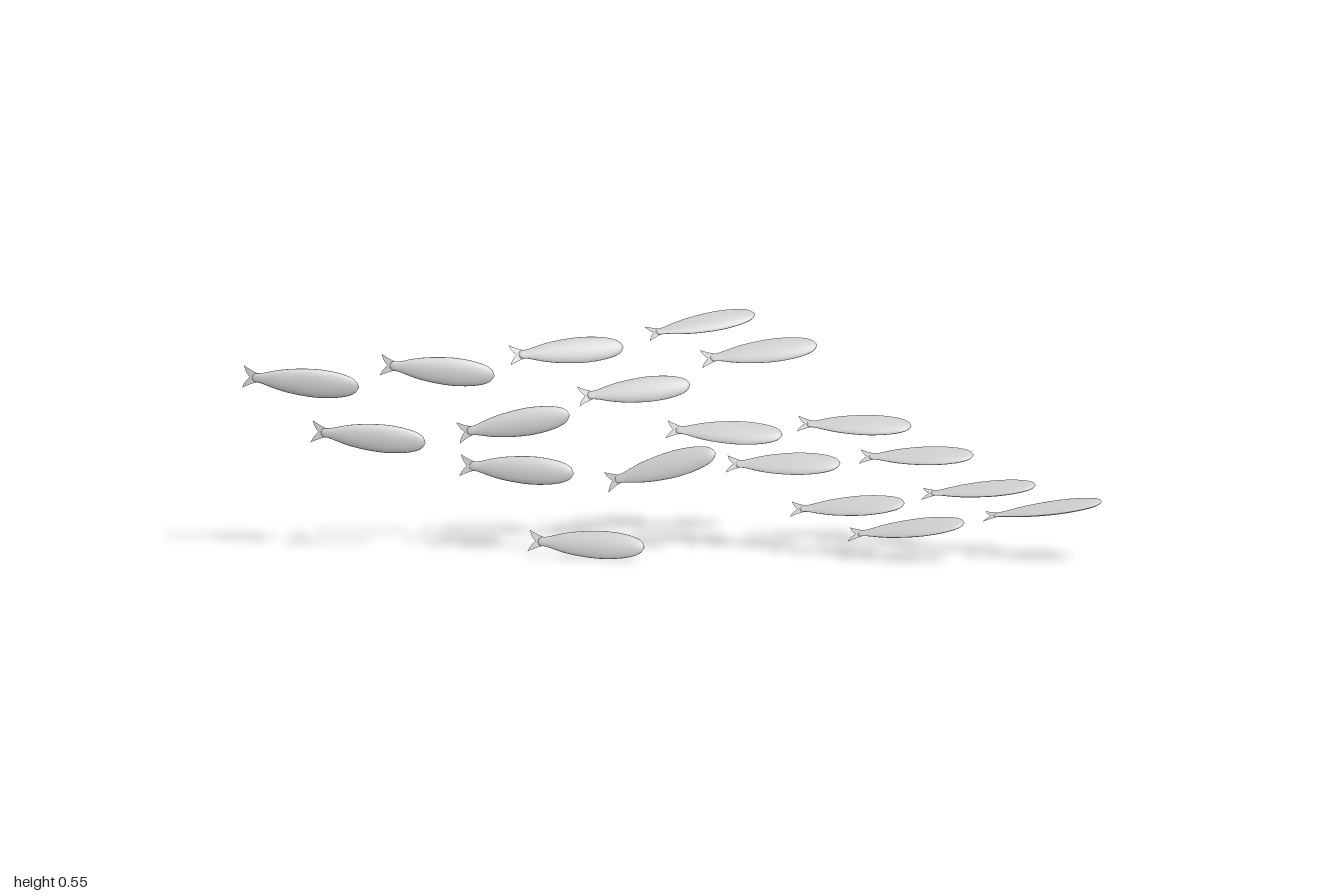
import * as THREE from 'three';
import { mergeVertices } from 'three/addons/utils/BufferGeometryUtils.js';

const LENGTH = 0.27;

// Each fish: tail x, y, z, nose x, y, z, and lean of the back towards -z in degrees
const SCHOOL = [
  [-1.00, 0.417, 0.020, -0.73, 0.392, 0.024, 2],
  [-0.84, 0.285, 0.000, -0.575, 0.260, 0.012, 5],
  [-0.68, 0.435, -0.046, -0.415, 0.410, -0.042, 9],
  [-0.50, 0.280, -0.010, -0.24, 0.324, -0.006, 12],
  [-0.495, 0.205, -0.006, -0.23, 0.190, 0.024, 12],
  [-0.38, 0.458, -0.042, -0.115, 0.474, -0.072, 32],
  [-0.22, 0.357, -0.070, 0.04, 0.383, -0.086, 32],
  [-0.335, 0.037, 0.057, -0.065, 0.029, 0.109, 25],
  [-0.155, 0.163, -0.018, 0.10, 0.238, 0.016, 25],
  [-0.06, 0.502, -0.090, 0.19, 0.541, -0.147, 55],
  [0.065, 0.436, -0.133, 0.335, 0.468, -0.145, 44],
  [-0.015, 0.280, -0.072, 0.255, 0.272, -0.038, 45],
  [0.29, 0.288, -0.110, 0.555, 0.286, -0.088, 53],
  [0.125, 0.205, -0.030, 0.39, 0.211, 0.005, 47],
  [0.435, 0.219, -0.054, 0.70, 0.227, -0.022, 58],
  [0.275, 0.107, 0.028, 0.54, 0.128, 0.073, 55],
  [0.58, 0.141, 0.012, 0.845, 0.168, 0.054, 66],
  [0.41, 0.057, 0.091, 0.68, 0.093, 0.146, 61],
  [0.725, 0.100, 0.091, 1.00, 0.142, 0.138, 73],
];

// Lens-sectioned body along +x, tail root to nose
function bodyGeometry() {
  const profile = [
    [0.002, 0.022], [0.0095, 0.027], [0.0125, 0.045], [0.021, 0.074], [0.0275, 0.105],
    [0.032, 0.145], [0.033, 0.18], [0.0295, 0.218], [0.0225, 0.247], [0.013, 0.263], [0, LENGTH],
  ].map(([r, x]) => new THREE.Vector2(r, x));
  const points = new THREE.SplineCurve(profile).getPoints(30);
  points.forEach((p) => { p.x = Math.max(p.x, 0); });
  let geo = new THREE.LatheGeometry(points, 24);
  geo.rotateZ(-Math.PI / 2);
  const pos = geo.attributes.position;
  for (let i = 0; i < pos.count; i++) {
    const y = pos.getY(i), z = pos.getZ(i);
    const r = Math.hypot(y, z) || 1;
    pos.setZ(i, 0.3 * z * Math.pow(Math.abs(z) / r, 0.3));
  }
  geo.deleteAttribute('normal');
  geo.deleteAttribute('uv');
  geo = mergeVertices(geo, 1e-6);
  geo.computeVertexNormals();
  return geo;
}

// Thin forked tail fin
function tailGeometry() {
  const s = new THREE.Shape();
  s.moveTo(0.042, 0.009);
  s.quadraticCurveTo(0.026, 0.011, 0, 0.026);
  s.quadraticCurveTo(0.005, 0.010, 0.016, 0);
  s.quadraticCurveTo(0.005, -0.010, 0, -0.026);
  s.quadraticCurveTo(0.026, -0.011, 0.042, -0.009);
  s.closePath();
  return new THREE.ShapeGeometry(s, 6);
}

export function createModel() {
  const school = new THREE.Group();
  school.name = 'fishSchool';
  const skin = new THREE.MeshStandardMaterial({ color: 0xcccccc });
  const finSkin = new THREE.MeshStandardMaterial({ color: 0xcccccc, side: THREE.DoubleSide });
  const bodyGeo = bodyGeometry();
  const tailGeo = tailGeometry();

  SCHOOL.forEach(([tx, ty, tz, nx, ny, nz, lean], i) => {
    const fish = new THREE.Group();
    fish.name = `fish${i + 1}`;
    const body = new THREE.Mesh(bodyGeo, skin);
    body.name = 'body';
    const tail = new THREE.Mesh(tailGeo, finSkin);
    tail.name = 'tailFin';
    fish.add(body, tail);

    // Point the fish from tail to nose, then lean its back
    const tailPoint = new THREE.Vector3(tx, ty, tz);
    const ahead = new THREE.Vector3(nx, ny, nz).sub(tailPoint);
    const size = ahead.length() / LENGTH;
    ahead.normalize();
    const a = THREE.MathUtils.degToRad(lean);
    const up = new THREE.Vector3(0, Math.cos(a), -Math.sin(a));
    up.addScaledVector(ahead, -up.dot(ahead)).normalize();
    const side = new THREE.Vector3().crossVectors(ahead, up);
    fish.quaternion.setFromRotationMatrix(new THREE.Matrix4().makeBasis(ahead, up, side));
    fish.position.copy(tailPoint);
    fish.scale.setScalar(size);
    school.add(fish);
  });
  return school;
}
